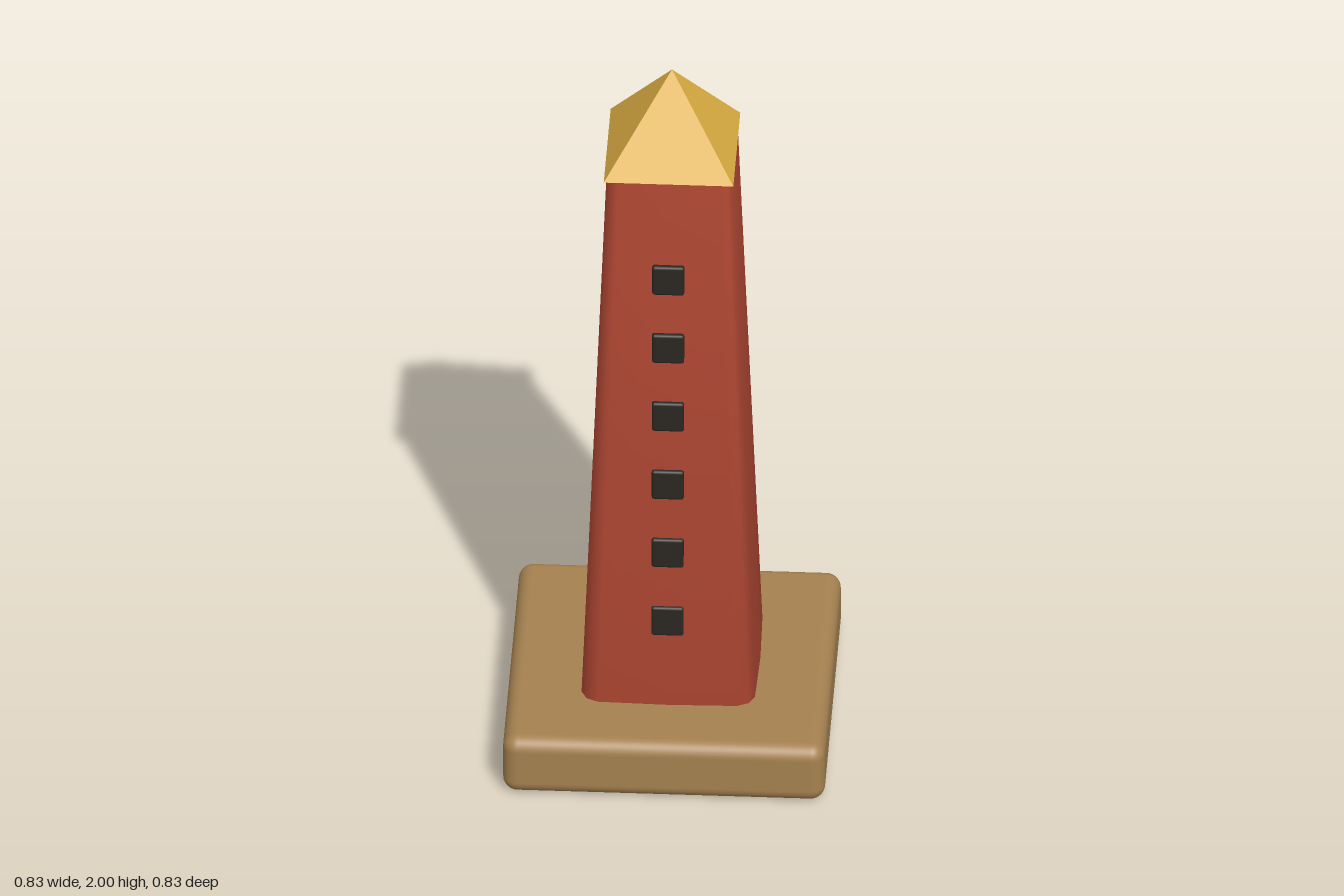
import * as THREE from 'three';
import { RoundedBoxGeometry } from 'three/addons/geometries/RoundedBoxGeometry.js';

const BASE_TOP = 0.168, ROOF_Y = 1.755;

function addPart(group, name, geometry, color, x = 0, y = 0, z = 0, flatShading = false) {
  const mesh = new THREE.Mesh(geometry, new THREE.MeshStandardMaterial({ color, flatShading }));
  mesh.name = name;
  mesh.position.set(x, y, z);
  group.add(mesh);
}

// Closed tapered shaft with a squarish, softly rounded cross-section.
// Caps share the side vertices so the shading flows over the whole height.
function taperedShaft(levels, sides, power) {
  const positions = [], index = [];
  const soften = (v) => Math.sign(v) * Math.pow(Math.abs(v), power);
  for (const [half, y] of levels) {
    for (let i = 0; i < sides; i++) {
      const a = (i / sides) * Math.PI * 2;
      positions.push(half * soften(Math.sin(a)), y, half * soften(Math.cos(a)));
    }
  }
  const last = levels.length - 1;
  const bottom = levels.length * sides, top = bottom + 1;
  positions.push(0, levels[0][1], 0, 0, levels[last][1], 0);
  for (let i = 0; i < sides; i++) {
    const j = (i + 1) % sides;
    for (let k = 0; k < last; k++) {
      const lo = k * sides, hi = lo + sides;
      index.push(lo + i, lo + j, hi + j, lo + i, hi + j, hi + i);
    }
    index.push(bottom, j, i, top, last * sides + i, last * sides + j);
  }
  const geometry = new THREE.BufferGeometry();
  geometry.setAttribute('position', new THREE.Float32BufferAttribute(positions, 3));
  geometry.setIndex(index);
  geometry.computeVertexNormals();
  return geometry;
}

export function createModel() {
  const model = new THREE.Group();
  model.name = 'tower';

  // Plinth
  addPart(model, 'plinth', new RoundedBoxGeometry(0.83, BASE_TOP, 0.83, 4, 0.038), 0xa58150, 0, BASE_TOP / 2, 0);

  // Shaft
  addPart(model, 'shaft', taperedShaft([[0.228, BASE_TOP - 0.003], [0.165, ROOF_Y]], 16, 0.25), 0xb04733);

  // Pyramid roof
  const roofHeight = 2 - ROOF_Y;
  const roof = new THREE.ConeGeometry(0.167 * Math.SQRT2, roofHeight, 4);
  roof.rotateY(Math.PI / 4);
  addPart(model, 'roof', roof, 0xdcae42, 0, ROOF_Y + roofHeight / 2, 0, true);

  // Row of windows up the front, stepping back with the taper
  const windows = new THREE.Group();
  windows.name = 'windows';
  const pane = new RoundedBoxGeometry(0.083, 0.088, 0.03, 2, 0.007);
  for (let i = 0; i < 6; i++) {
    const y = 0.424 + i * 0.208;
    const faceZ = 0.188 + 0.035 * (1.464 - y);
    addPart(windows, 'window', pane, 0x2b2620, 0, y, faceZ - 0.015);
  }
  model.add(windows);

  return model;
}
